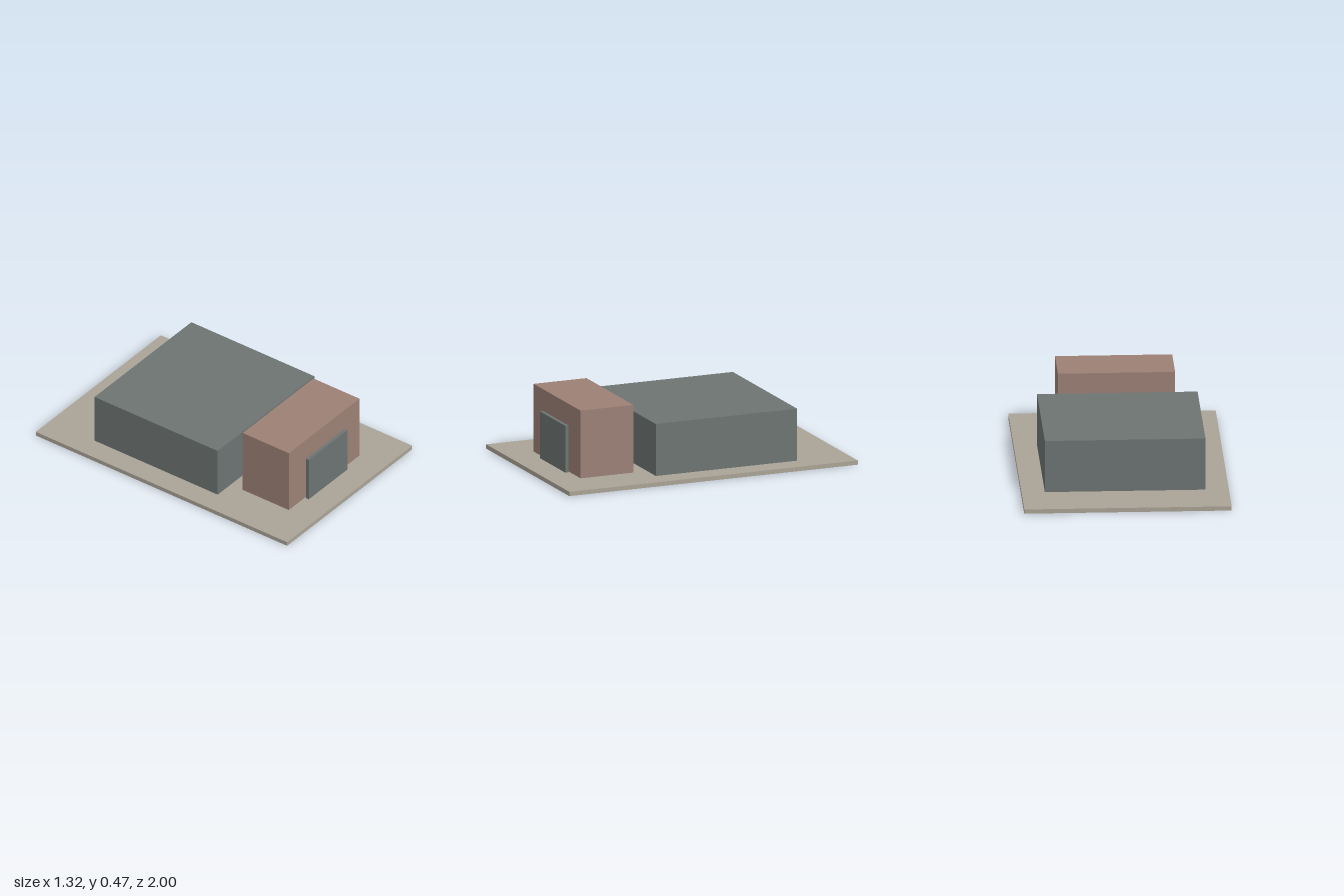
import * as THREE from 'three';

export function createModel() {
  const model = new THREE.Group();
  const makeMaterial = (name, color) => {
    const material = new THREE.MeshStandardMaterial({ color });
    material.name = name;
    return material;
  };
  const stone = makeMaterial('stone', 0xaaa396);
  const slate = makeMaterial('slate', 0x6c7472);
  const brick = makeMaterial('brick', 0x9c8075);

  // Box given by its width, vertical span and depth span, centred on x = 0
  const addBlock = (name, material, width, [y0, y1], [z0, z1]) => {
    const mesh = new THREE.Mesh(new THREE.BoxGeometry(width, y1 - y0, z1 - z0), material);
    mesh.position.set(0, (y0 + y1) / 2, (z0 + z1) / 2);
    mesh.name = name;
    model.add(mesh);
  };

  const ground = 0.028;
  // Ground slab
  addBlock('basePlate', stone, 1.32, [0, ground], [-1, 1]);
  // Large low hall at the back
  addBlock('mainHall', slate, 1.022, [ground, 0.369], [-0.645, 0.335]);
  // Taller block at the front
  addBlock('frontBlock', brick, 0.746, [ground, 0.472], [0.43, 0.797]);
  // Free-standing panel just ahead of the front block
  addBlock('entrancePanel', slate, 0.406, [ground, 0.335], [0.805, 0.828]);

  return model;
}
